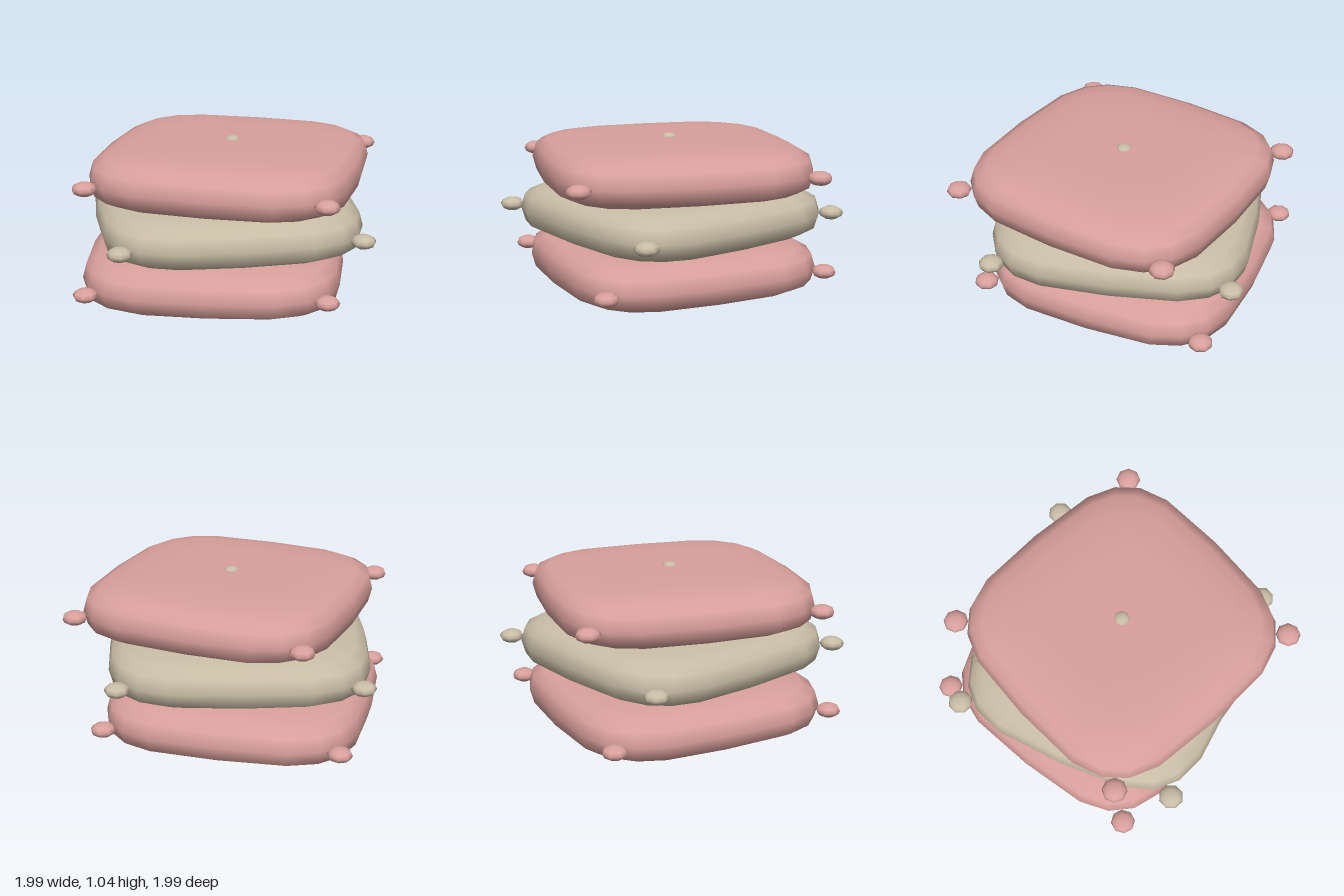
import * as THREE from 'three';
import { mergeVertices } from 'three/addons/utils/BufferGeometryUtils.js';

const PUFF = 0.55; // exponent that squares a sphere into a cushion

// Sphere with each coordinate raised to a power, giving a soft square pillow
function cushionGeometry(half, halfHeight) {
  const sphere = new THREE.SphereGeometry(1, 20, 10);
  sphere.deleteAttribute('uv');
  sphere.deleteAttribute('normal');
  const p = sphere.attributes.position;
  const puff = (c) => Math.sign(c) * Math.pow(Math.abs(c), PUFF);
  for (let i = 0; i < p.count; i++) {
    p.setXYZ(i, half * puff(p.getX(i)), halfHeight * puff(p.getY(i)), half * puff(p.getZ(i)));
  }
  const geometry = mergeVertices(sphere, 1e-4);
  geometry.computeVertexNormals();
  return geometry;
}

export function createModel() {
  const pink = new THREE.MeshStandardMaterial({ color: 0xd9a09c });
  pink.name = 'dusty pink';
  const beige = new THREE.MeshStandardMaterial({ color: 0xc9bda6 });
  beige.name = 'beige';

  const model = new THREE.Group();
  model.name = 'cushionStack';

  const pillow = cushionGeometry(0.855, 0.172);
  const ball = new THREE.SphereGeometry(1, 8, 6);

  // Flattened bead used for tassels and the button
  function bead(name, material, radius, halfHeight, x, y, z) {
    const mesh = new THREE.Mesh(ball, material);
    mesh.name = name;
    mesh.scale.set(radius, halfHeight, radius);
    mesh.position.set(x, y, z);
    return mesh;
  }

  // Stacked cushions, each a little shifted and turned
  const layers = [
    { name: 'bottomCushion', material: pink, at: [-0.06, 0.174, -0.03], turn: 0 },
    { name: 'middleCushion', material: beige, at: [-0.005, 0.523, -0.003], turn: 0.24 },
    { name: 'topCushion', material: pink, at: [0.05, 0.848, 0.022], turn: -0.155 },
  ];
  for (const { name, material, at, turn } of layers) {
    const group = new THREE.Group();
    group.name = name;
    group.position.set(...at);
    group.rotation.y = turn;
    const body = new THREE.Mesh(pillow, material);
    body.name = 'cushionBody';
    group.add(body);
    // Corner tassels
    for (const sx of [-1, 1]) {
      for (const sz of [-1, 1]) {
        group.add(bead('cornerTassel', material, 0.08, 0.045, sx * 0.757, 0, sz * 0.757));
      }
    }
    model.add(group);
  }

  // Button in the middle of the top cushion
  model.add(bead('button', beige, 0.052, 0.028, 0.05, 1.014, 0.022));

  return model;
}
